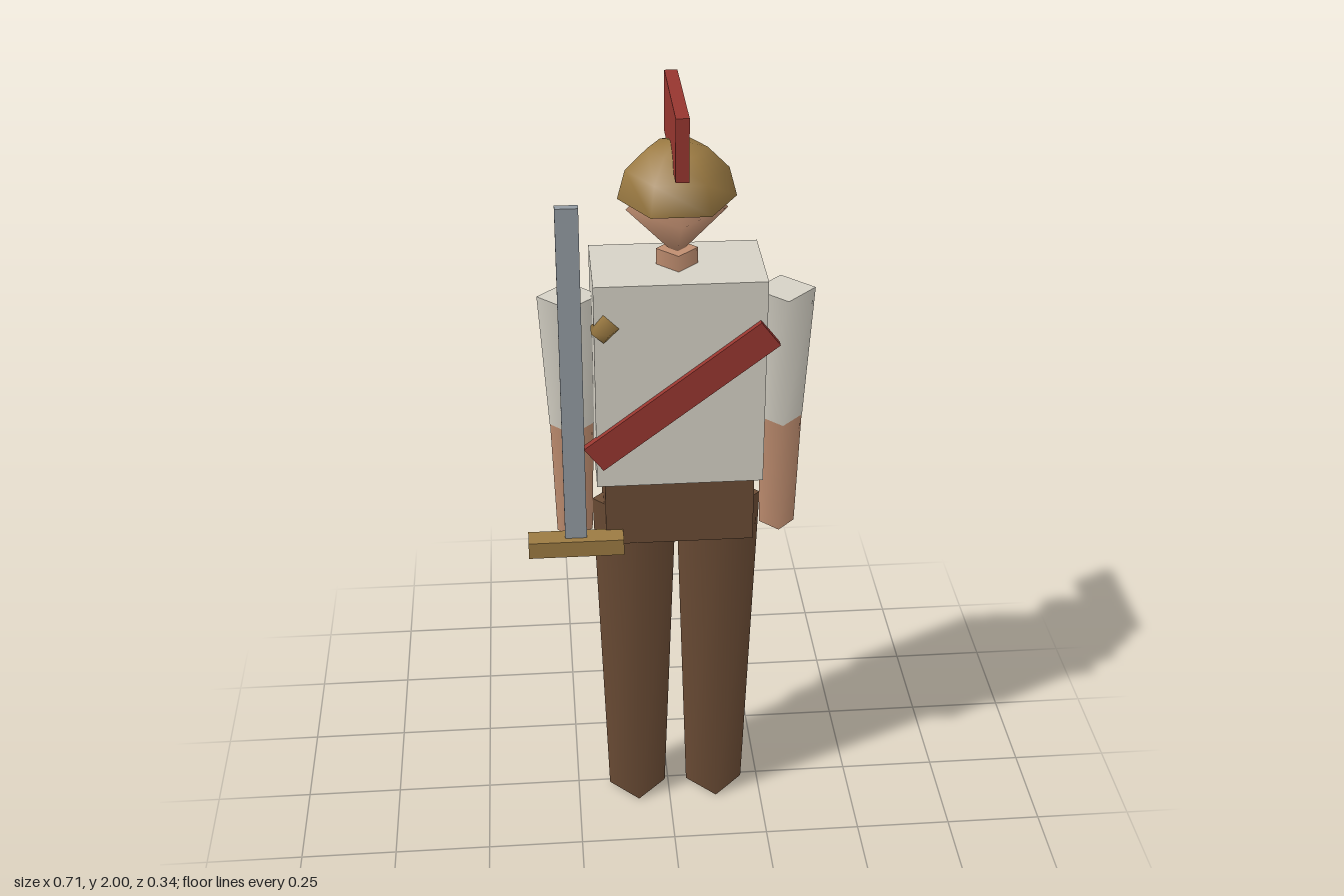
import * as THREE from 'three';

const material = (name, color, extra = {}) => {
  const m = new THREE.MeshStandardMaterial({ color, ...extra });
  m.name = name;
  return m;
};

export function createModel() {
  const linen = material('linen', 0xd6d2c6);
  const skin = material('skin', 0xc08e70);
  const brown = material('brown cloth', 0x6b4c35);
  const brass = material('brass', 0x9c7b43, { side: THREE.DoubleSide });
  const red = material('red', 0x97362f);
  const steel = material('steel', 0x939ba2);

  const model = new THREE.Group();
  model.name = 'swordsman';

  const add = (parent, name, geometry, mat, x, y, z) => {
    const mesh = new THREE.Mesh(geometry, mat);
    mesh.name = name;
    mesh.position.set(x, y, z);
    parent.add(mesh);
    return mesh;
  };
  const box = (w, h, d) => new THREE.BoxGeometry(w, h, d);
  // Four-sided tapered limb between two heights
  const limb = (parent, name, mat, rTop, rBottom, y0, y1, x = 0) =>
    add(parent, name, new THREE.CylinderGeometry(rTop, rBottom, y1 - y0, 4), mat, x, (y0 + y1) / 2, 0);

  // Body, centred on its own axis
  const body = new THREE.Group();
  body.name = 'body';
  body.position.set(0.021, 0, 0.012);
  model.add(body);

  add(body, 'torso', box(0.41, 0.54, 0.238), linen, 0, 1.32, 0);
  add(body, 'hips', box(0.37, 0.18, 0.214), brown, 0, 0.962, 0);

  for (const [side, s] of [['left', 1], ['right', -1]]) {
    limb(body, side + 'Leg', brown, 0.107, 0.077, 0, 0.943, s * 0.107);
    limb(body, side + 'Sleeve', linen, 0.075, 0.055, 1.165, 1.515, s * 0.26);
    limb(body, side + 'Forearm', skin, 0.054, 0.045, 0.853, 1.165, s * 0.26);
  }

  // Head, helmet and crest
  limb(body, 'neck', skin, 0.05, 0.05, 1.56, 1.63);
  add(body, 'head', new THREE.SphereGeometry(0.12, 4, 2), skin, 0, 1.73, 0);
  add(body, 'helmet', new THREE.SphereGeometry(0.14, 6, 3, 0, Math.PI * 2, 0, Math.PI / 2),
    brass, 0, 1.758, 0);
  add(model, 'crest', box(0.031, 0.15, 0.325), red, 0.021, 1.925, -0.01);

  // Diagonal sash and shoulder brooch
  const sash = add(model, 'sash', box(0.535, 0.077, 0.02), red, 0.021, 1.298, 0.136);
  sash.rotation.z = 0.655;
  const brooch = add(model, 'brooch', new THREE.SphereGeometry(0.037, 5, 2), brass, -0.161, 1.482, 0.132);
  brooch.rotation.y = Math.PI;

  // Upright sword
  const sword = new THREE.Group();
  sword.name = 'sword';
  sword.position.set(-0.24, 0, 0.141);
  model.add(sword);
  add(sword, 'blade', box(0.054, 0.88, 0.021), steel, 0, 1.356, 0);
  add(sword, 'guard', box(0.237, 0.044, 0.054), brass, 0, 0.893, 0);

  return model;
}
